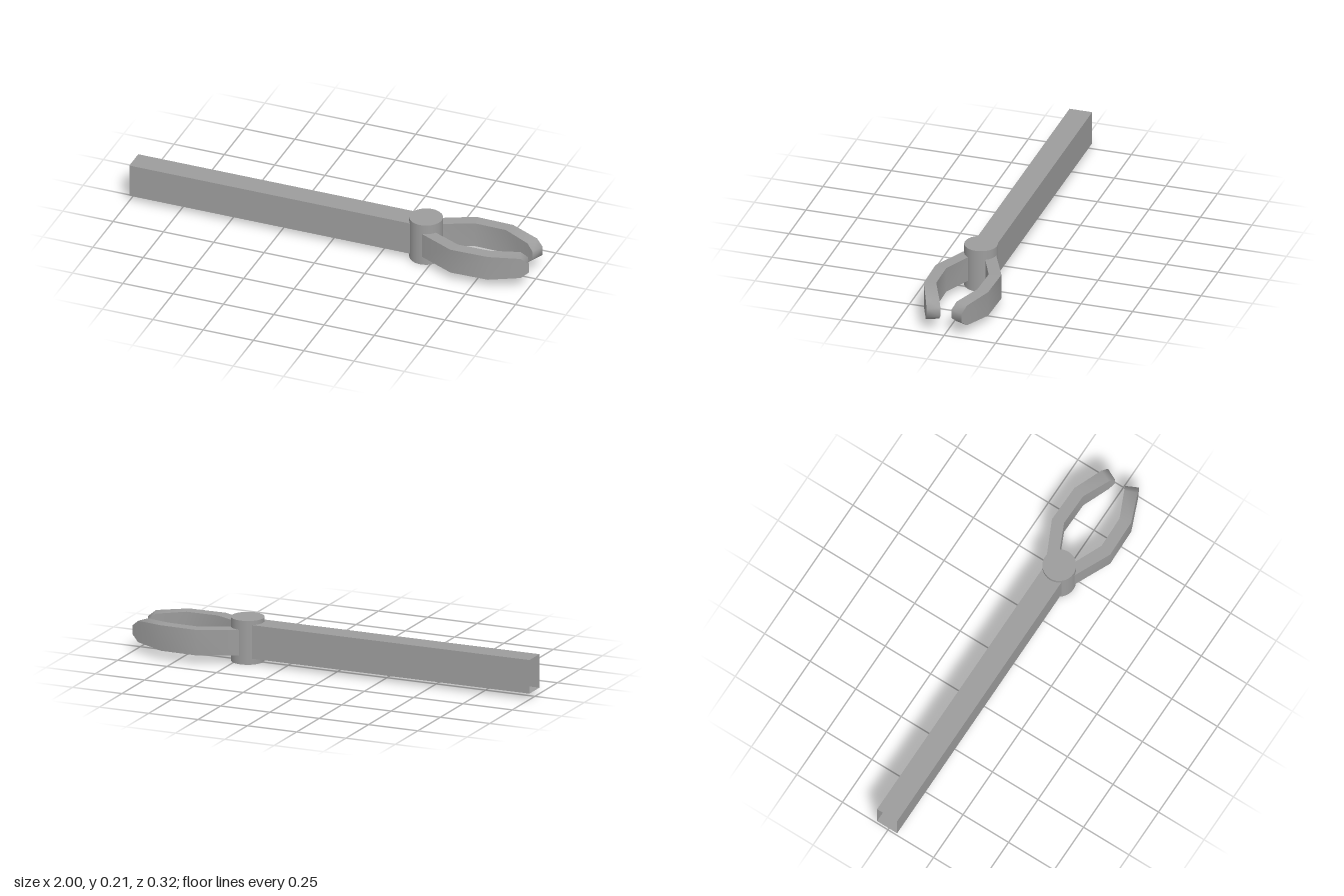
import * as THREE from 'three';
import { toCreasedNormals } from 'three/addons/utils/BufferGeometryUtils.js';

const MID_Y = 0.103;

// Jaw cross-sections along x: outer x, z; inner x, z; half height
const JAW = [
  [0.46, 0.075, 0.46, 0.015, 0.061],
  [0.64, 0.16, 0.655, 0.103, 0.061],
  [0.825, 0.156, 0.812, 0.1, 0.061],
  [0.966, 0.1, 0.942, 0.042, 0.051],
  [1.0, 0.085, 0.972, 0.027, 0.022],
];

// Bent plate lofted through the sections; side is +1 (front) or -1 (back)
function jawGeometry(side) {
  const rings = JAW.map(([ox, oz, ix, iz, h]) => [
    [ox, MID_Y - h, oz * side], [ox, MID_Y + h, oz * side],
    [ix, MID_Y + h, iz * side], [ix, MID_Y - h, iz * side],
  ]);
  const pos = [];
  const quad = (a, b, c, d) => {
    const order = side > 0 ? [a, b, c, a, c, d] : [a, c, b, a, d, c];
    order.forEach((p) => pos.push(...p));
  };
  for (let i = 0; i < rings.length - 1; i++) {
    for (let k = 0; k < 4; k++) {
      const n = (k + 1) % 4;
      quad(rings[i][k], rings[i + 1][k], rings[i + 1][n], rings[i][n]);
    }
  }
  const [a, b, c, d] = rings[0];
  quad(a, b, c, d);
  const [e, f, g, h] = rings[rings.length - 1];
  quad(h, g, f, e);
  const geo = new THREE.BufferGeometry();
  geo.setAttribute('position', new THREE.Float32BufferAttribute(pos, 3));
  // Bends and tip shade smoothly, long edges stay sharp
  return toCreasedNormals(geo, 1.1);
}

export function createModel() {
  const model = new THREE.Group();
  model.name = 'gripperArm';
  const add = (name, geometry, side = THREE.FrontSide) => {
    const material = new THREE.MeshStandardMaterial({ color: 0x9d9d9d, side });
    const mesh = new THREE.Mesh(geometry, material);
    mesh.name = name;
    model.add(mesh);
    return mesh;
  };

  // Hollow rectangular bar, open at its ends (the two x faces are dropped)
  const bar = new THREE.BoxGeometry(1.43, 0.161, 0.11);
  bar.setIndex(Array.from(bar.index.array).slice(12));
  bar.clearGroups();
  add('arm', bar, THREE.DoubleSide).position.set(-0.285, 0.109, -0.005);

  // Upright pivot
  add('pivot', new THREE.CylinderGeometry(0.078, 0.078, 0.21, 32)).position.set(0.455, 0.105, 0);

  // Pair of mirrored jaws
  add('frontJaw', jawGeometry(1));
  add('backJaw', jawGeometry(-1));

  return model;
}
